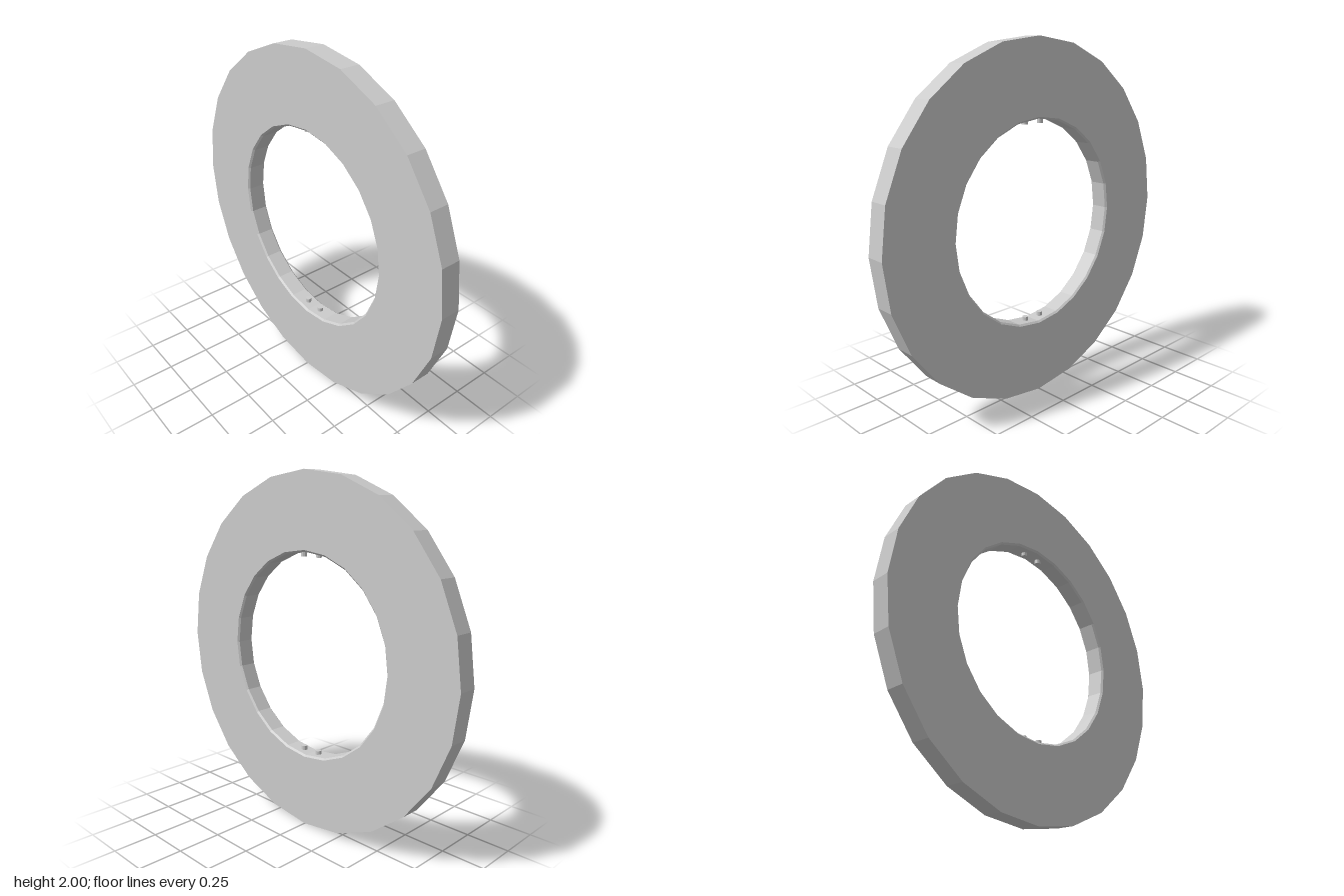
import * as THREE from 'three';

export function createModel() {
  const model = new THREE.Group();
  const material = new THREE.MeshStandardMaterial({ color: 0xcccccc, flatShading: true });

  const half = 0.056;       // half the thickness
  const outer = 1;
  const inner = 0.575;
  const bevel = 0.01;       // chamfer on both edges of the hole

  // Ring: closed section turned around the x axis in 24 flat sides
  const section = [
    [outer, -half],
    [outer, half],
    [inner + bevel, half],
    [inner, half - bevel],
    [inner, -half + bevel],
    [inner + bevel, -half],
    [outer, -half],
  ].map(([r, h]) => new THREE.Vector2(r, h));
  const ringGeometry = new THREE.LatheGeometry(section, 24);
  ringGeometry.rotateZ(Math.PI / 2);
  const ring = new THREE.Mesh(ringGeometry, material);
  ring.name = 'ring';
  ring.position.y = 1;
  model.add(ring);

  // Pegs: a pair at the top and a pair at the bottom of the hole, sunk into the ring
  const pegGeometry = new THREE.CylinderGeometry(0.017, 0.017, 0.04, 12);
  for (const [level, sideY] of [['upper', 1], ['lower', -1]]) {
    for (const [end, sideZ] of [['Front', 1], ['Back', -1]]) {
      const peg = new THREE.Mesh(pegGeometry, material);
      peg.name = `${level}${end}Peg`;
      peg.position.set(0, 1 + sideY * 0.565, sideZ * 0.057);
      model.add(peg);
    }
  }

  return model;
}
